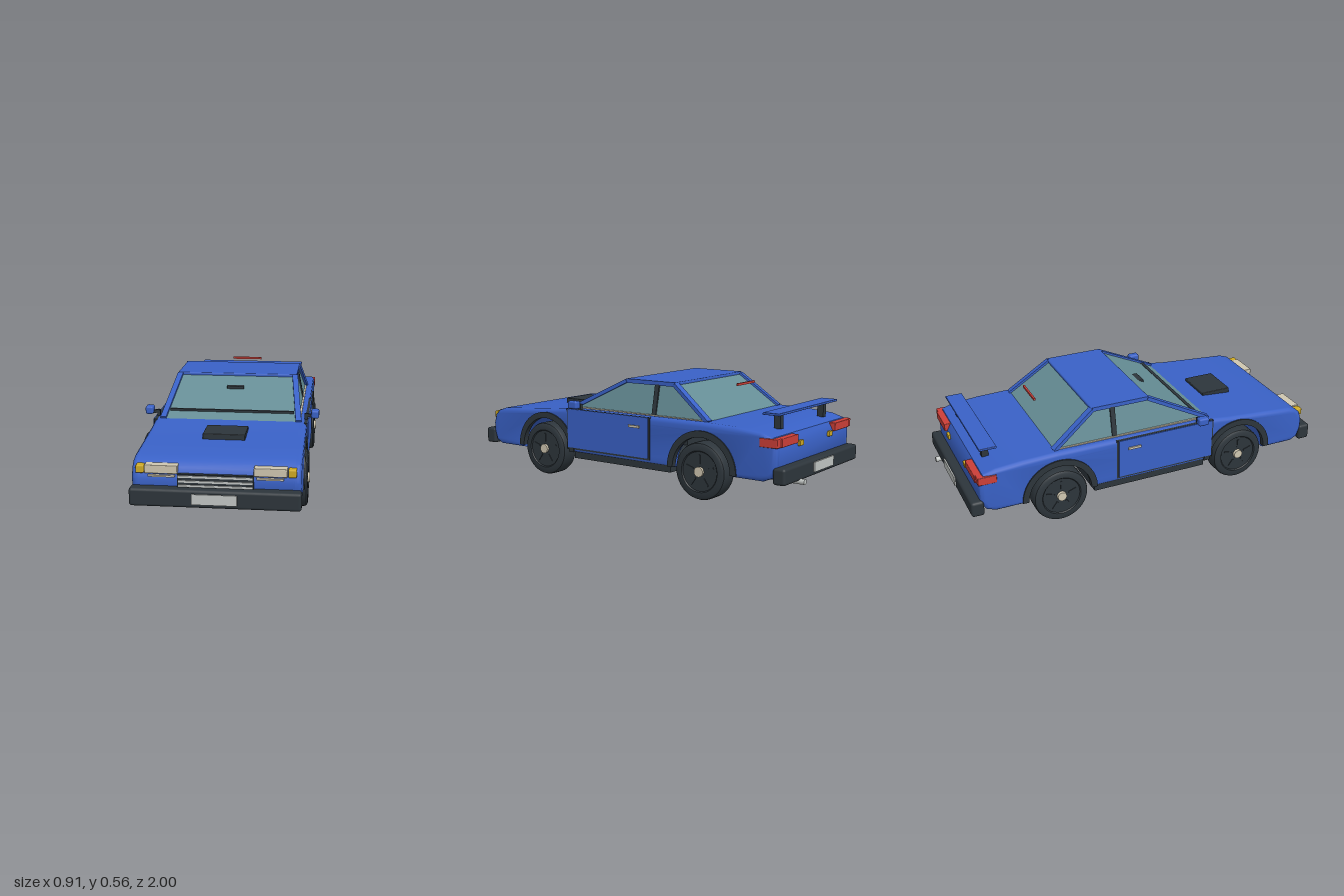
import * as THREE from 'three';
import { toCreasedNormals } from 'three/addons/utils/BufferGeometryUtils.js';
import { RoundedBoxGeometry } from 'three/addons/geometries/RoundedBoxGeometry.js';

const mat = (name, color, side = THREE.FrontSide) => {
  const m = new THREE.MeshStandardMaterial({ color, side });
  m.name = name;
  return m;
};

export function createModel() {
  const car = new THREE.Group();
  car.name = 'car';
  const blue = mat('blue paint', 0x3961c6);
  const dark = mat('dark trim', 0x2d353b);
  const glass = mat('tinted glass', 0x668e96, THREE.DoubleSide);
  const cream = mat('cream lamp', 0xcfc6b0);
  const amber = mat('amber lamp', 0xcfaa24);
  const red = mat('red lamp', 0xcc3f38);
  const silver = mat('silver', 0xc2c6c4);

  const add = (name, geo, m, x = 0, y = 0, z = 0) => {
    const mesh = new THREE.Mesh(geo, m);
    mesh.name = name;
    mesh.position.set(x, y, z);
    car.add(mesh);
    return mesh;
  };
  // Box given by its limits on each axis, with optional rounded edges
  const box = (name, m, x0, x1, y0, y1, z0, z1, r = 0) => {
    const d = [Math.abs(x1 - x0), y1 - y0, Math.abs(z1 - z0)];
    const geo = r ? new RoundedBoxGeometry(...d, 2, r) : new THREE.BoxGeometry(...d);
    return add(name, geo, m, (x0 + x1) / 2, (y0 + y1) / 2, (z0 + z1) / 2);
  };
  // Bar with a square section between two points
  const beam = (name, m, a, b, w, h = w) => {
    const p = new THREE.Vector3(...a), q = new THREE.Vector3(...b);
    const mesh = add(name, new THREE.BoxGeometry(w, h, p.distanceTo(q)), m);
    mesh.position.copy(p).lerp(q, 0.5);
    mesh.lookAt(q);
    return mesh;
  };
  // Side outline (z, y) extruded across the car, centred on x = 0
  const across = (shape, width, bevel = 0) => {
    const geo = new THREE.ExtrudeGeometry(shape, {
      depth: width - 2 * bevel, curveSegments: 24, bevelEnabled: bevel > 0,
      bevelThickness: bevel, bevelSize: bevel, bevelOffset: -bevel, bevelSegments: 3,
    });
    geo.translate(0, 0, -(width - 2 * bevel) / 2);
    geo.rotateY(-Math.PI / 2);
    return toCreasedNormals(geo, 0.6);
  };

  // Body outlines
  const FRONT = 0.52, REAR = -0.51, AXLE = 0.145, ARCH = 0.175;
  const nose = [[0.88, 0.13], [0.92, 0.15], [0.937, 0.2], [0.94, 0.25], [0.925, 0.3],
    [0.895, 0.327], [0.85, 0.342], [0.7, 0.353], [0.46, 0.371], [0.35, 0.385]];
  const tail = [[-0.52, 0.388], [-0.7, 0.383], [-0.84, 0.372], [-0.905, 0.352], [-0.927, 0.31],
    [-0.927, 0.2], [-0.9, 0.155], [-0.85, 0.135]];
  const outline = (pts, s = new THREE.Shape()) => {
    pts.forEach(([z, y], i) => (i || s.curves.length ? s.lineTo(z, y) : s.moveTo(z, y)));
    return s;
  };
  const start = [FRONT + ARCH, 0.13];

  // Full side panels with both wheel arches
  const side = new THREE.Shape();
  side.moveTo(...start);
  [...nose, ...tail, [REAR - ARCH, 0.135]].forEach(p => side.lineTo(...p));
  side.absarc(REAR, AXLE, ARCH, Math.PI, 0, true);
  side.lineTo(REAR + ARCH, 0.14);
  side.lineTo(FRONT - ARCH, 0.14);
  side.absarc(FRONT, AXLE, ARCH, Math.PI, 0, true);
  const sideGeo = across(side, 0.06, 0.022);

  // Front and rear cores between the side panels
  const frontCore = outline([start, ...nose, [FRONT - ARCH, AXLE]]);
  frontCore.absarc(FRONT, AXLE, ARCH, Math.PI, 0, true);
  add('frontBody', across(frontCore, 0.732), blue);
  const rearCore = outline([...tail, [REAR - ARCH, 0.135]]);
  rearCore.absarc(REAR, AXLE, ARCH, Math.PI, Math.PI / 2, true);
  add('rearBody', across(rearCore, 0.732), blue);

  // Floor pan
  box('floor', dark, -0.39, 0.39, 0.112, 0.155, -0.32, 0.32);

  // Wheel arch trim
  const ring = new THREE.Shape();
  ring.absarc(0, 0, 0.203, 0, Math.PI, false);
  ring.absarc(0, 0, 0.17, Math.PI, 0, true);
  const ringGeo = across(ring, 0.03);

  // Wheel turned around its axle
  const tyre = [[0, -0.05], [0.13, -0.05], [0.141, -0.045], [0.145, -0.034], [0.145, 0.034],
    [0.141, 0.045], [0.13, 0.052], [0.105, 0.052], [0.1, 0.046], [0, 0.046]];
  const wheelGeo = toCreasedNormals(new THREE.LatheGeometry(
    tyre.map(p => new THREE.Vector2(...p)), 40), 0.6).rotateZ(-Math.PI / 2);
  const hubGeo = new THREE.CylinderGeometry(0.024, 0.026, 0.02, 16).rotateZ(Math.PI / 2);

  // Cabin corners: windshield base, roof front, roof rear, rear window base
  const corners = s => [[s * 0.352, 0.385, 0.35], [s * 0.315, 0.552, 0.01],
    [s * 0.315, 0.552, -0.3], [s * 0.352, 0.385, -0.525]];
  const quad = (name, a, b, c, d) => {
    const geo = new THREE.BufferGeometry();
    geo.setAttribute('position', new THREE.Float32BufferAttribute([a, b, c, a, c, d].flat(), 3));
    geo.computeVertexNormals();
    add(name, geo, glass);
  };
  const L = corners(1), R = corners(-1);
  quad('windshield', L[0], L[1], R[1], R[0]);
  quad('rearWindow', L[2], L[3], R[3], R[2]);
  box('roof', blue, -0.325, 0.325, 0.543, 0.563, -0.305, 0.018, 0.007);

  for (const s of [1, -1]) {
    add('sidePanel', sideGeo, blue, s * 0.366);

    // Side windows, pillars and waist trim
    const c = corners(s);
    quad('sideWindow', ...c);
    beam('frontPillar', blue, c[0], c[1], 0.03, 0.02);
    beam('rearPillar', blue, c[2], c[3], 0.034, 0.02);
    beam('roofRail', blue, c[1], c[2], 0.022);
    beam('centrePillar', dark, [s * 0.35, 0.388, -0.19], [s * 0.319, 0.545, -0.19], 0.026, 0.014);
    beam('waistTrim', cream, [s * 0.357, 0.387, 0.33], [s * 0.357, 0.387, -0.5], 0.01);

    // Doors with dark seams and handles
    box('doorSeam', dark, s * 0.38, s * 0.399, 0.16, 0.383, -0.196, 0.366);
    box('door', blue, s * 0.38, s * 0.404, 0.17, 0.382, -0.186, 0.357);
    box('doorHandle', cream, s * 0.4, s * 0.412, 0.324, 0.336, -0.135, -0.065);

    // Door mirrors
    beam('mirrorArm', dark, [s * 0.385, 0.408, 0.28], [s * 0.425, 0.4, 0.28], 0.016);
    box('mirrorFoot', dark, s * 0.38, s * 0.395, 0.375, 0.412, 0.27, 0.29);
    box('mirror', blue, s * 0.415, s * 0.456, 0.393, 0.435, 0.25, 0.31, 0.01);

    // Wheels with hub caps and spokes
    for (const z of [FRONT, REAR]) {
      add('archTrim', ringGeo, dark, s * 0.388, AXLE, z);
      const wheel = add('wheel', wheelGeo, dark, s * 0.362, AXLE, z);
      if (s < 0) wheel.rotation.y = Math.PI;
      add('hubCap', hubGeo, cream, s * 0.412, AXLE, z);
      for (let i = 0; i < 5; i++) {
        const a = i * Math.PI * 0.4 + Math.PI / 2;
        const at = r => [s * 0.408, AXLE + r * Math.sin(a), z + r * Math.cos(a)];
        beam('spoke', dark, at(0.04), at(0.085), 0.008);
      }
    }

    // Front lamps
    box('headlight', cream, s * 0.177, s * 0.332, 0.278, 0.318, 0.89, 0.95, 0.004);
    box('lowerLamp', cream, s * 0.19, s * 0.315, 0.262, 0.27, 0.92, 0.95);
    box('frontIndicator', amber, s * 0.335, s * 0.374, 0.277, 0.315, 0.88, 0.948, 0.006);

    // Tail lamps wrapping around the corners
    box('tailLamp', red, s * 0.2, s * 0.365, 0.305, 0.348, -0.942, -0.88, 0.004);
    box('cornerLamp', red, s * 0.36, s * 0.401, 0.305, 0.348, -0.935, -0.838, 0.004);
    box('rearIndicator', amber, s * 0.14, s * 0.18, 0.285, 0.312, -0.94, -0.9, 0.004);

    // Spoiler legs and seats
    box('spoilerLeg', dark, s * 0.215, s * 0.245, 0.37, 0.446, -0.865, -0.83);
    box('seat', dark, s * 0.085, s * 0.28, 0.106, 0.2, -0.1, 0.1);
  }

  // Spoiler blade and high brake lamp
  box('spoiler', blue, -0.315, 0.315, 0.444, 0.456, -0.895, -0.805, 0.003);
  box('highBrakeLamp', red, -0.085, 0.085, 0.539, 0.551, -0.528, -0.518);

  // Hood vent, dash strip and rear-view mirror
  box('hoodVent', dark, -0.105, 0.105, 0.355, 0.386, 0.46, 0.63, 0.004);
  beam('dashStrip', dark, [-0.325, 0.415, 0.285], [0.325, 0.415, 0.285], 0.018, 0.018);
  box('rearViewMirror', dark, -0.045, 0.045, 0.495, 0.513, 0.085, 0.12, 0.003);

  // Grille with bright bars
  box('grille', dark, -0.178, 0.178, 0.2, 0.279, 0.88, 0.95);
  for (const y of [0.268, 0.245, 0.224]) box('grilleBar', silver, -0.173, 0.173, y - 0.005, y + 0.005, 0.94, 0.955);

  // Bumpers, plates and exhaust
  box('frontBumper', dark, -0.4, 0.4, 0.13, 0.217, 0.925, 0.992, 0.014);
  box('frontPlate', silver, -0.105, 0.105, 0.149, 0.199, 0.99, 0.998);
  box('rearBumper', dark, -0.4, 0.4, 0.13, 0.212, -0.977, -0.91, 0.014);
  box('rearPlate', silver, -0.105, 0.105, 0.149, 0.199, -0.984, -0.975);
  add('exhaust', new THREE.CylinderGeometry(0.014, 0.014, 0.18, 16).rotateX(Math.PI / 2), silver, 0.235, 0.126, -0.91);

  return car;
}
